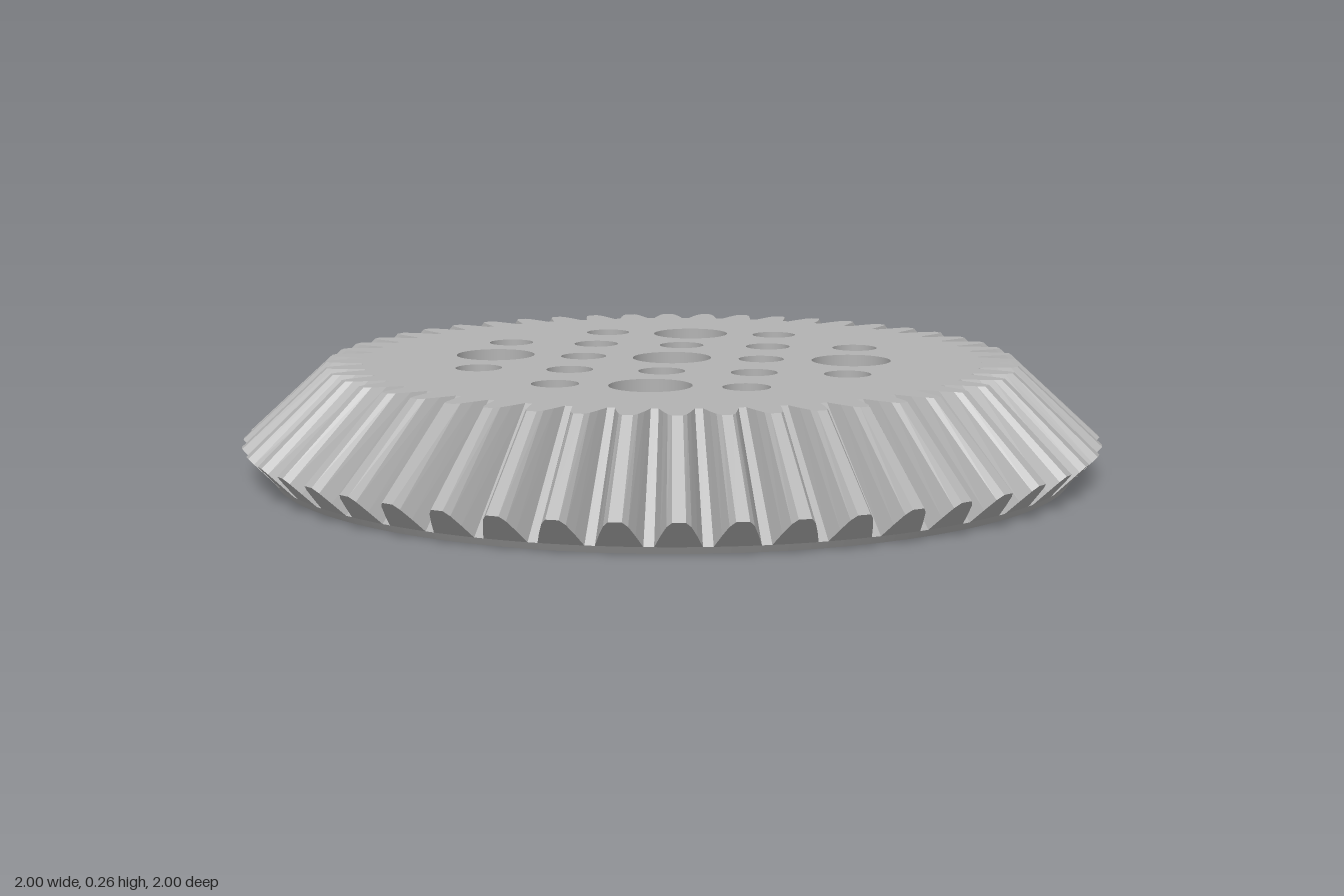
import * as THREE from 'three';

const TEETH = 50;
const HEIGHT = 0.257;
const PITCH = 0.21; // spacing of the hole grid

// Half of one tooth: [angle as a fraction of the pitch, height from root (0) to tip (1)]
const HALF_TOOTH = [[0.41, 0], [0.3, 0.45], [0.2, 0.82], [0.11, 1]];
const TOOTH = [
  ...HALF_TOOTH.map(([u, s]) => [-u, s]),
  ...[...HALF_TOOTH].reverse(),
];

// Closed toothed ring; every tooth sample is blended from root to tip
function ring(rootR, tipR, rootY, tipY) {
  const points = [];
  for (let i = 0; i < TEETH; i++) {
    for (const [u, s] of TOOTH) {
      const a = ((i + u) / TEETH) * Math.PI * 2;
      const r = rootR + (tipR - rootR) * s;
      points.push(new THREE.Vector3(r * Math.sin(a), rootY + (tipY - rootY) * s, r * Math.cos(a)));
    }
  }
  return points;
}

// Faceted skin between successive rings, listed from bottom to top
function skin(rings) {
  const pos = [];
  const tri = (...vs) => vs.forEach((v) => pos.push(v.x, v.y, v.z));
  for (let k = 0; k < rings.length - 1; k++) {
    const lo = rings[k], hi = rings[k + 1];
    for (let i = 0; i < lo.length; i++) {
      const j = (i + 1) % lo.length;
      tri(lo[i], lo[j], hi[j]);
      tri(lo[i], hi[j], hi[i]);
    }
  }
  const geo = new THREE.BufferGeometry();
  geo.setAttribute('position', new THREE.Float32BufferAttribute(pos, 3));
  geo.computeVertexNormals();
  return geo;
}

// Five by five hole grid without its corners; every second hole is large
function holeList() {
  const holes = [];
  for (let i = -2; i <= 2; i++) {
    for (let j = -2; j <= 2; j++) {
      if (Math.abs(i) + Math.abs(j) === 4) continue;
      const large = i % 2 === 0 && j % 2 === 0;
      holes.push({ x: i * PITCH, z: j * PITCH, r: large ? 0.092 : 0.053 });
    }
  }
  return holes;
}

// Flat face bounded by a ring and pierced by the holes
function plate(points, holes) {
  const shape = new THREE.Shape(points.map((p) => new THREE.Vector2(p.x, -p.z)));
  for (const h of holes) {
    shape.holes.push(new THREE.Path().absarc(h.x, -h.z, h.r, 0, Math.PI * 2, true));
  }
  return new THREE.ShapeGeometry(shape, 20);
}

export function createModel() {
  const gear = new THREE.Group();
  gear.name = 'bevelGear';
  const grey = new THREE.MeshStandardMaterial({ color: 0xb2b2b2 });
  grey.name = 'grey';

  const add = (geo, name, parent = gear) => {
    const mesh = new THREE.Mesh(geo, grey);
    mesh.name = name;
    parent.add(mesh);
    return mesh;
  };

  const base = ring(0.93, 0.93, 0, 0);
  const rim = ring(0.94, 0.94, 0.016, 0.016);
  const heel = ring(0.94, 1, 0.016, 0.078);
  const top = ring(0.72, 0.805, HEIGHT, HEIGHT);
  const holes = holeList();

  // Teeth with their sloping back faces and the thin base rim
  add(skin([base, rim, heel, top]), 'bevelTeeth');

  // Upper and lower faces
  add(plate(top, holes).rotateX(-Math.PI / 2), 'topFace').position.y = HEIGHT;
  add(plate(base, holes).rotateX(Math.PI / 2), 'bottomFace');

  // Hole walls, facing inward
  const walls = new THREE.Group();
  walls.name = 'holeWalls';
  gear.add(walls);
  for (const h of holes) {
    const profile = [new THREE.Vector2(h.r, HEIGHT), new THREE.Vector2(h.r, 0)];
    add(new THREE.LatheGeometry(profile, 40), 'holeWall', walls).position.set(h.x, 0, h.z);
  }
  return gear;
}
